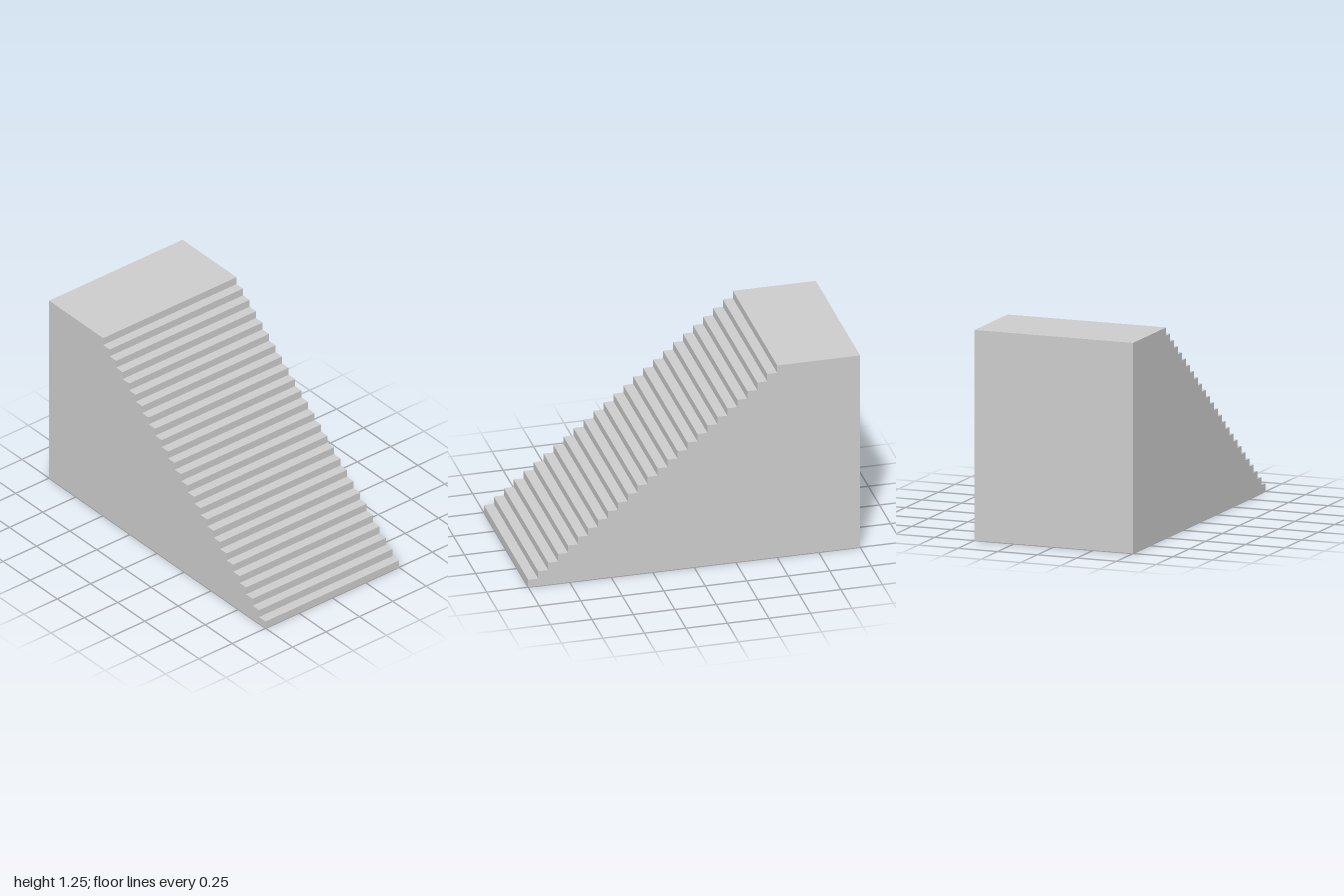
import * as THREE from 'three';

const WIDTH = 1, HEIGHT = 1.25, LENGTH = 2;
const STEPS = 26, TREAD = 0.06, RISER = HEIGHT / STEPS;
const FRONT = LENGTH / 2, BACK = -LENGTH / 2;
const LANDING_FRONT = FRONT - TREAD * (STEPS - 1);

// Thin shell, open underneath
const material = new THREE.MeshStandardMaterial({ color: 0xcccccc, side: THREE.DoubleSide, flatShading: true });

function addMesh(parent, name, geometry, x = 0, y = 0, z = 0) {
  const mesh = new THREE.Mesh(geometry, material);
  mesh.name = name;
  mesh.position.set(x, y, z);
  parent.add(mesh);
  return mesh;
}

// Stepped outline of a side wall, drawn with shape x = -z
function sideWallGeometry() {
  const shape = new THREE.Shape();
  shape.moveTo(-FRONT, 0);
  for (let i = 0; i < STEPS; i++) {
    const x = -FRONT + i * TREAD;
    shape.lineTo(x, i * RISER);
    shape.lineTo(x, (i + 1) * RISER);
  }
  shape.lineTo(-BACK, HEIGHT);
  shape.lineTo(-BACK, 0);
  return new THREE.ShapeGeometry(shape).rotateY(Math.PI / 2);
}

export function createModel() {
  const model = new THREE.Group();
  model.name = 'staircase';

  // Risers and treads
  const steps = new THREE.Group();
  steps.name = 'steps';
  model.add(steps);
  const riser = new THREE.PlaneGeometry(WIDTH, RISER);
  const tread = new THREE.PlaneGeometry(WIDTH, TREAD).rotateX(-Math.PI / 2);
  for (let i = 0; i < STEPS; i++) {
    const z = FRONT - i * TREAD;
    addMesh(steps, `riser${i + 1}`, riser, 0, (i + 0.5) * RISER, z);
    if (i < STEPS - 1) addMesh(steps, `tread${i + 1}`, tread, 0, (i + 1) * RISER, z - TREAD / 2);
  }

  // Top landing
  const depth = LANDING_FRONT - BACK;
  addMesh(model, 'landing', new THREE.PlaneGeometry(WIDTH, depth).rotateX(-Math.PI / 2),
    0, HEIGHT, BACK + depth / 2);

  // Back wall
  addMesh(model, 'backWall', new THREE.PlaneGeometry(WIDTH, HEIGHT).rotateY(Math.PI), 0, HEIGHT / 2, BACK);

  // Mirrored side walls
  const wall = sideWallGeometry();
  addMesh(model, 'leftWall', wall, WIDTH / 2);
  addMesh(model, 'rightWall', wall, -WIDTH / 2).scale.x = -1;

  return model;
}
